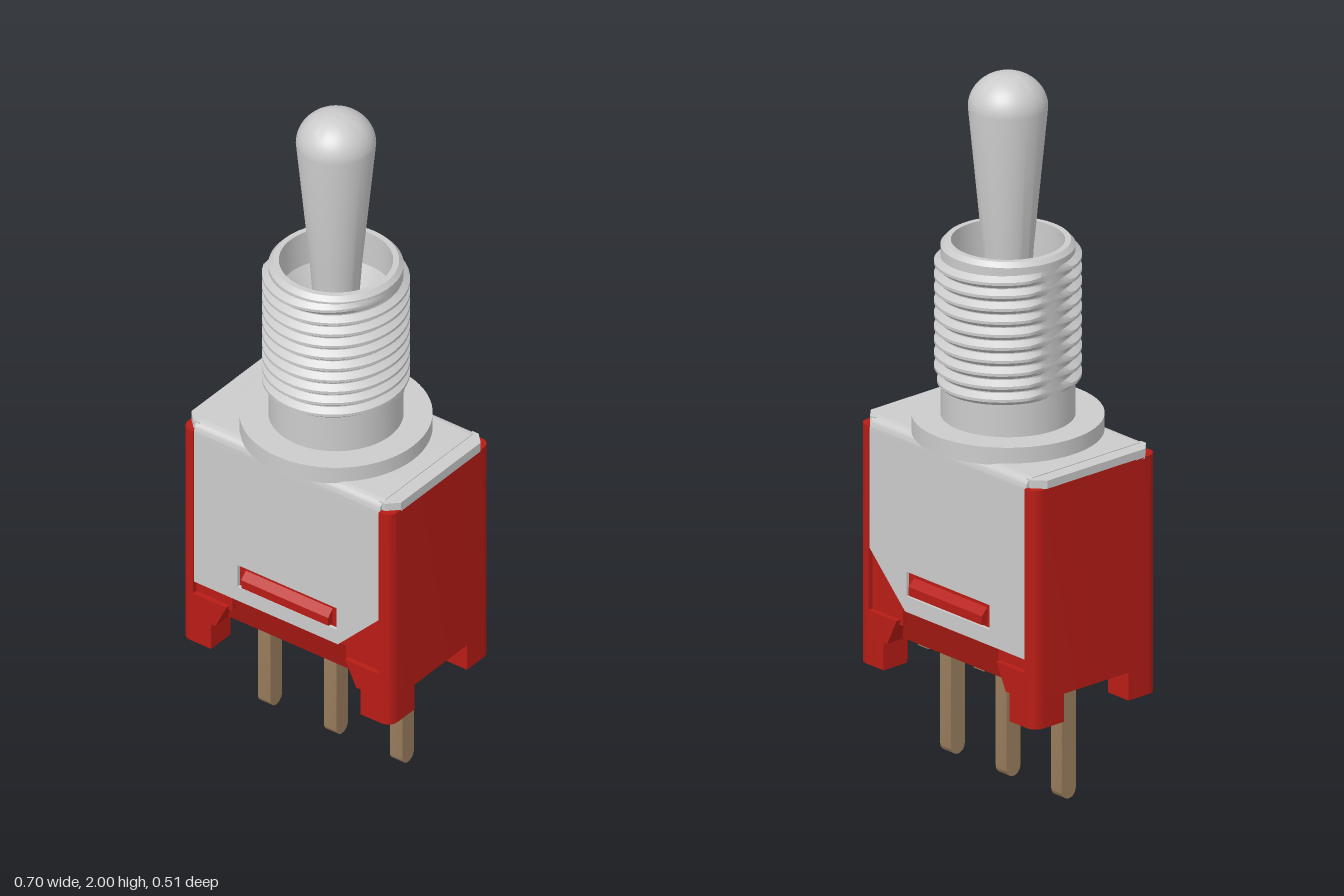
import * as THREE from 'three';
import { toCreasedNormals } from 'three/addons/utils/BufferGeometryUtils.js';

const METAL = new THREE.MeshStandardMaterial({ color: 0xcccccc });
const RED = new THREE.MeshStandardMaterial({ color: 0xb81c16 });
const BRASS = new THREE.MeshStandardMaterial({ color: 0x9c7f5f });

const shapeOf = (pts) => new THREE.Shape(pts.map(([x, y]) => new THREE.Vector2(x, y)));
const extrude = (shape, depth, curveSegments = 8) =>
  new THREE.ExtrudeGeometry(shape, { depth, bevelEnabled: false, curveSegments });

// Plan outline (x, z) extruded between two heights
const planPrism = (shape, y0, y1) =>
  toCreasedNormals(extrude(shape, y1 - y0).rotateX(Math.PI / 2).translate(0, y1, 0), 0.6);

// Side outline (-z, y) extruded along x, centred
const sidePrism = (shape, width) =>
  toCreasedNormals(extrude(shape, width).rotateY(Math.PI / 2).translate(-width / 2, 0, 0), 0.6);

const box = (x0, x1, y0, y1, z0, z1) =>
  new THREE.BoxGeometry(x1 - x0, y1 - y0, z1 - z0)
    .translate((x0 + x1) / 2, (y0 + y1) / 2, (z0 + z1) / 2);

const lathe = (pts, segments = 64) =>
  toCreasedNormals(new THREE.LatheGeometry(pts.map(([r, y]) => new THREE.Vector2(r, y)), segments), 0.5);

// Move every vertex of a geometry by a rule
function warp(geo, rule) {
  const p = geo.attributes.position, v = new THREE.Vector3();
  for (let i = 0; i < p.count; i++) {
    rule(v.fromBufferAttribute(p, i));
    p.setXYZ(i, v.x, v.y, v.z);
  }
  geo.computeVertexNormals();
  return geo;
}

// Helical ridge whose crest is cut by a flat at x = -0.18
function threadGeometry(y0, y1, turns) {
  const profile = [[0, -0.018], [1, -0.004], [1, 0.004], [0, 0.018]];
  const steps = turns * 56, pos = [], idx = [];
  for (let i = 0; i <= steps; i++) {
    const a = (i / steps) * turns * Math.PI * 2;
    const fade = Math.min(1, i / 14, (steps - i) / 14);
    for (const [h, dy] of profile) {
      const r = 0.179 + 0.018 * h * fade;
      pos.push(Math.max(-0.18, r * Math.cos(a)), y0 + (y1 - y0) * i / steps + dy, -r * Math.sin(a));
    }
    if (i === steps) break;
    for (let j = 0; j < 3; j++) {
      const p = i * 4 + j, q = p + 4;
      idx.push(p, q, p + 1, q, q + 1, p + 1);
    }
  }
  const geo = new THREE.BufferGeometry();
  geo.setAttribute('position', new THREE.Float32BufferAttribute(pos, 3));
  geo.setIndex(idx);
  return toCreasedNormals(geo, 0.5);
}

export function createModel() {
  const root = new THREE.Group();
  const group = (name) => {
    const g = new THREE.Group();
    g.name = name;
    root.add(g);
    return g;
  };
  const add = (parent, name, geo, mat) => {
    const m = new THREE.Mesh(geo, mat);
    m.name = name;
    parent.add(m);
    return m;
  };

  // Housing: core, tapered skirt, end walls, wings and feet
  const housing = group('housing');
  add(housing, 'core', box(-0.33, 0.33, 0.47, 0.955, -0.205, 0.205), RED);
  add(housing, 'skirt', warp(box(-0.33, 0.33, 0.365, 0.47, -0.205, 0.205), (v) => {
    if (v.y < 0.4) v.z *= 0.82;
  }), RED);
  for (const s of [-1, 1]) {
    const wall = new THREE.Shape();
    wall.moveTo(s * 0.31, -0.22);
    wall.lineTo(s * 0.315, -0.22);
    wall.quadraticCurveTo(s * 0.35, -0.22, s * 0.35, -0.185);
    wall.lineTo(s * 0.35, 0.185);
    wall.quadraticCurveTo(s * 0.35, 0.22, s * 0.315, 0.22);
    wall.lineTo(s * 0.31, 0.22);
    add(housing, 'endWall', planPrism(wall, 0.36, 0.96), RED);

    for (const f of [-1, 1]) {
      const wing = shapeOf([[s * 0.315, 0.36], [s * 0.235, 0.36], [s * 0.198, 0.435], [s * 0.315, 0.435]]);
      add(housing, 'wing', extrude(wing, 0.07).translate(0, 0, f > 0 ? 0.15 : -0.22), RED);
      add(housing, 'pocketFloor', box(s > 0 ? 0.19 : -0.315, s > 0 ? 0.315 : -0.19, 0.42, 0.472,
        f > 0 ? 0.16 : -0.205, f > 0 ? 0.205 : -0.16), RED);

      const foot = new THREE.Shape();
      foot.moveTo(s * 0.25, f * 0.22);
      foot.lineTo(s * 0.25, f * 0.135);
      foot.lineTo(s * 0.27, f * 0.115);
      foot.lineTo(s * 0.35, f * 0.115);
      foot.lineTo(s * 0.35, f * 0.185);
      foot.quadraticCurveTo(s * 0.35, f * 0.22, s * 0.315, f * 0.22);
      add(housing, 'foot', planPrism(foot, 0.28, 0.37), RED);
    }
  }

  // Latch tabs showing through the plate slots
  const tabShape = shapeOf([[-0.2, 0.575], [-0.225, 0.55], [-0.225, 0.525], [-0.2, 0.52]]);
  for (const angle of [0, Math.PI]) {
    add(housing, 'latchTab', sidePrism(tabShape, 0.29), RED).rotation.y = angle;
  }

  // Metal bracket: bent top strip, end lips and two slotted plates
  const bracket = group('bracket');
  const strip = new THREE.Shape();
  strip.moveTo(-0.215, 0.94);
  strip.lineTo(0.215, 0.94);
  strip.lineTo(0.215, 0.955);
  strip.quadraticCurveTo(0.215, 0.985, 0.185, 0.985);
  strip.lineTo(-0.185, 0.985);
  strip.quadraticCurveTo(-0.215, 0.985, -0.215, 0.955);
  add(bracket, 'topStrip', sidePrism(strip, 0.62), METAL);
  for (const s of [-1, 1]) {
    const lip = shapeOf([[0.3, -0.205], [0.32, -0.205], [0.35, -0.175], [0.35, 0.175], [0.32, 0.205], [0.3, 0.205]]
      .map(([x, z]) => [s * x, z]));
    add(bracket, 'endLip', planPrism(lip, 0.955, 0.983), METAL);
  }
  const plate = shapeOf([[-0.31, 0.47], [0.17, 0.47], [0.31, 0.61], [0.31, 0.95], [-0.31, 0.95]]);
  plate.holes.push(shapeOf([[-0.165, 0.515], [-0.165, 0.585], [0.165, 0.585], [0.165, 0.515]]));
  for (const z of [0.203, -0.215]) {
    add(bracket, 'sidePlate', extrude(plate, 0.012).translate(0, 0, z), METAL);
  }

  // Washer and hollow threaded bushing
  const bushing = group('bushing');
  add(bushing, 'washer', lathe([[0, 0.98], [0.257, 0.98], [0.257, 1.03], [0, 1.03]]), METAL);
  add(bushing, 'sleeve', lathe([[0.18, 1.02], [0.18, 1.512], [0.168, 1.525], [0.152, 1.525],
    [0.152, 1.42], [0.075, 1.28], [0, 1.28]]), METAL);
  add(bushing, 'thread', threadGeometry(1.125, 1.495, 10), METAL);

  // Lever with a domed tip
  const lever = [[0.052, 1.27], [0.07, 1.52], [0.107, 1.905]];
  for (let i = 1; i <= 12; i++) {
    const a = (i / 12) * Math.PI / 2;
    lever.push([0.107 * Math.cos(a), 1.905 + 0.095 * Math.sin(a)]);
  }
  add(root, 'lever', lathe(lever, 48), METAL);

  // Sealant under the housing, sagging at the middle and around the pins
  const seal = new THREE.BoxGeometry(0.62, 0.04, 0.3, 48, 1, 12).translate(0, 0.385, 0);
  add(root, 'sealant', warp(seal, (v) => {
    if (v.y > 0.38) return;
    const sag = 1 - (v.z / 0.15) ** 2;
    v.y = 0.365 - sag * (0.032 - 0.018 * Math.abs(Math.sin(Math.PI * v.x / 0.22)));
  }), METAL);

  // Terminals with rounded ends and a crossbar
  const pinShape = new THREE.Shape();
  pinShape.moveTo(0.025, 0.4);
  pinShape.lineTo(-0.025, 0.4);
  pinShape.lineTo(-0.025, 0.025);
  pinShape.absarc(0, 0.025, 0.025, Math.PI, Math.PI * 2, false);
  const pins = group('terminals');
  for (const x of [-0.22, 0, 0.22]) {
    add(pins, 'pin', sidePrism(pinShape, 0.042), BRASS).position.x = x;
    add(pins, 'crossbar', box(x - 0.021, x + 0.021, 0.325, 0.37, -0.105, 0.105), BRASS);
  }
  return root;
}
